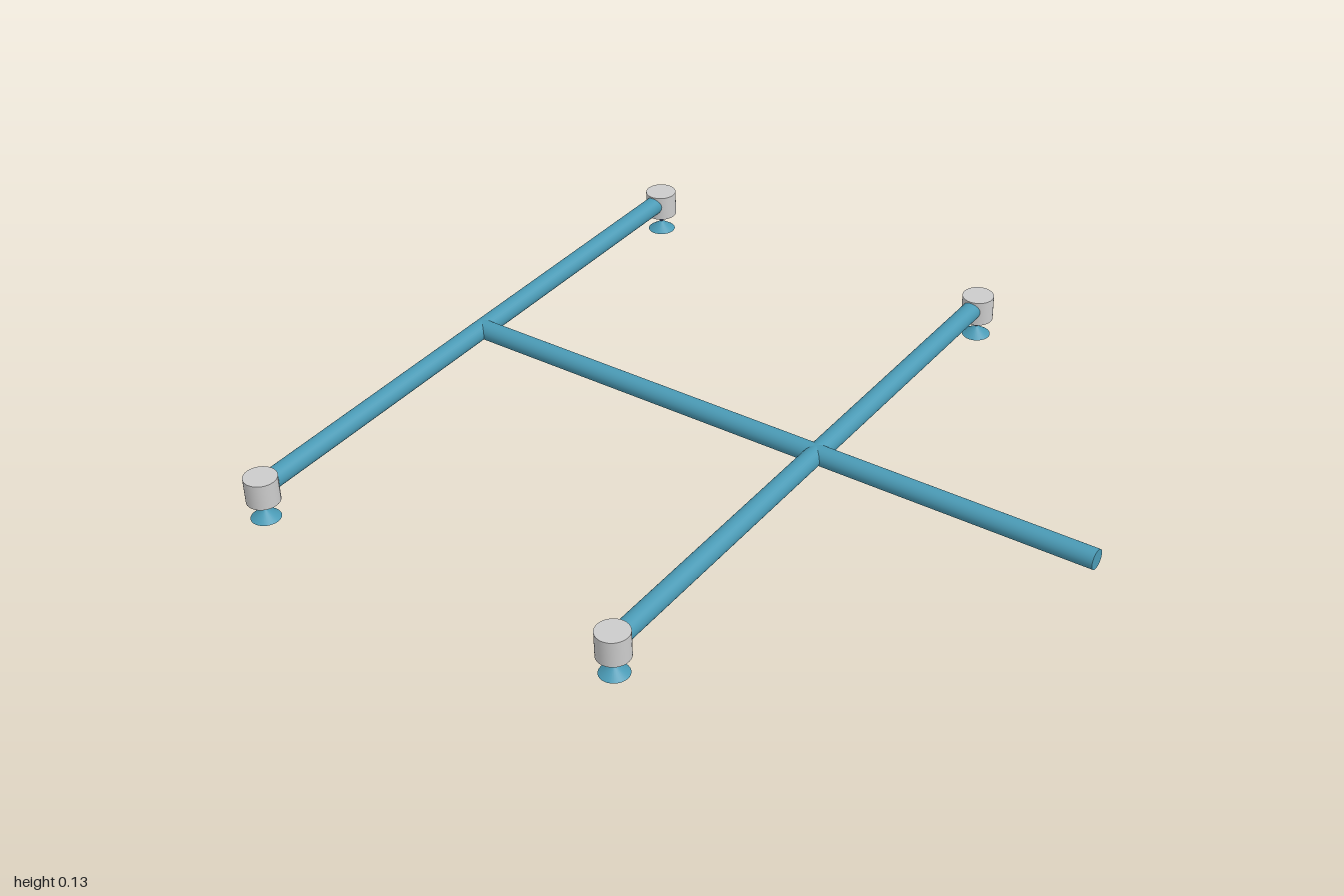
import * as THREE from 'three';

export function createModel() {
  const model = new THREE.Group();
  const grey = new THREE.MeshStandardMaterial({ color: 0xcccccc });
  const teal = new THREE.MeshStandardMaterial({ color: 0x4a9ab5 });
  const navy = new THREE.MeshStandardMaterial({ color: 0x3a4a80 });

  const barY = 0.098, barRadius = 0.028;
  const frameX = [-0.955, 0.175], capZ = 0.902;

  function add(parent, name, geometry, material, x, y, z) {
    const mesh = new THREE.Mesh(geometry, material);
    mesh.name = name;
    mesh.position.set(x, y, z);
    parent.add(mesh);
    return mesh;
  }

  // Long spine running through both cross bars
  const spineLength = 1 - frameX[0];
  const spine = new THREE.CylinderGeometry(barRadius, barRadius, spineLength, 32).rotateZ(Math.PI / 2);
  add(model, 'spine', spine, teal, (1 + frameX[0]) / 2, barY, -0.01);

  // Shared geometry for cross bars and levelling feet
  const crossBar = new THREE.CylinderGeometry(barRadius, barRadius, capZ * 2, 32).rotateX(Math.PI / 2);
  const cap = new THREE.CylinderGeometry(0.046, 0.046, 0.075, 32);
  const socket = new THREE.CylinderGeometry(0.026, 0.003, 0.03, 32);
  const pad = new THREE.CylinderGeometry(0.004, 0.041, 0.026, 32);

  for (const x of frameX) {
    add(model, 'crossBar', crossBar, teal, x, barY, 0);
    for (const side of [-1, 1]) {
      const foot = new THREE.Group();
      foot.name = 'foot';
      foot.position.set(x, 0, side * capZ);
      add(foot, 'endCap', cap, grey, 0, 0.0925, 0);
      add(foot, 'footSocket', socket, navy, 0, 0.04, 0);
      add(foot, 'footPad', pad, teal, 0, 0.013, 0);
      model.add(foot);
    }
  }
  return model;
}
